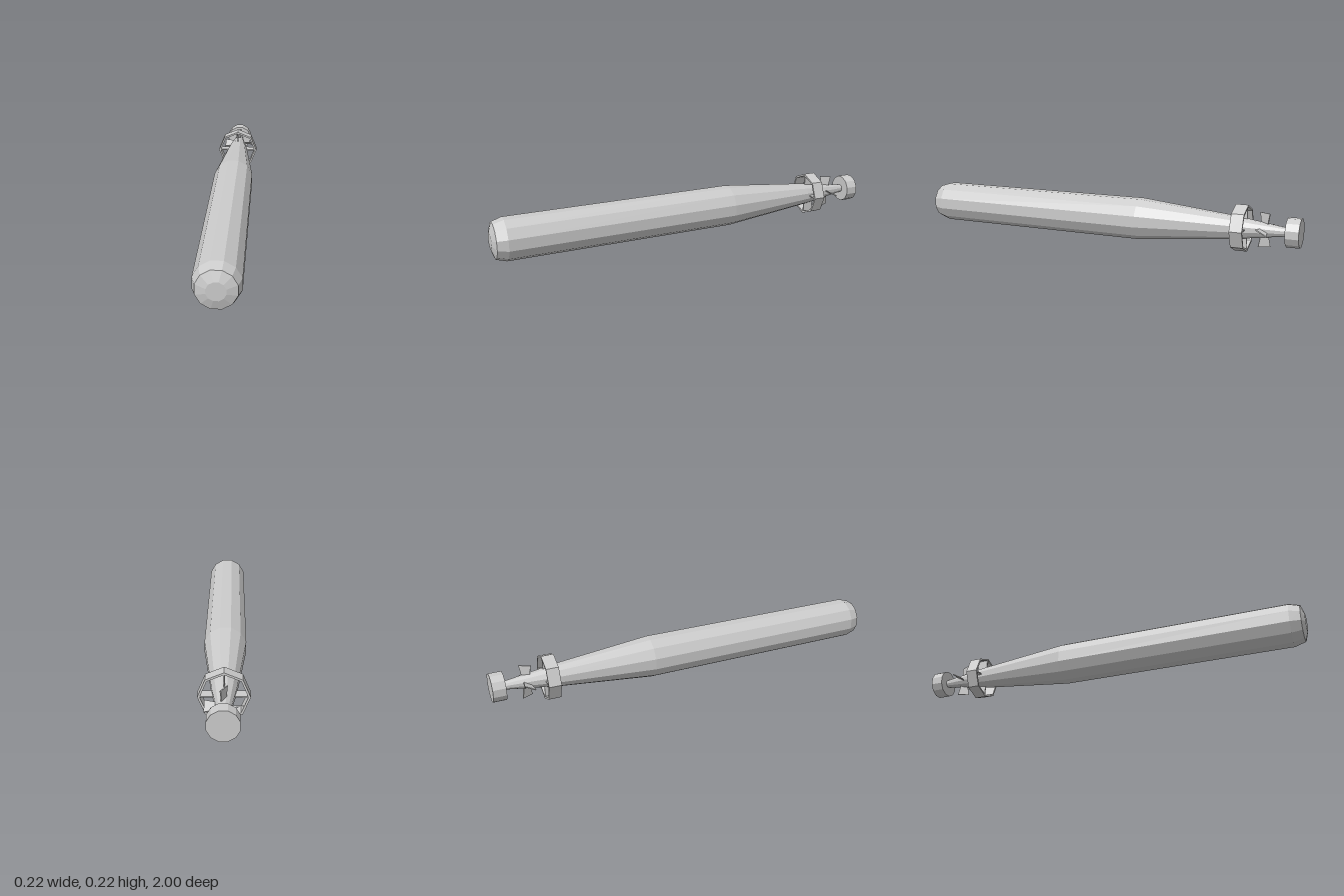
import * as THREE from 'three';

const material = new THREE.MeshStandardMaterial({ color: 0xcccccc, flatShading: true, side: THREE.DoubleSide });
const AXIS_Y = 0.112;

function add(parent, name, geometry) {
  const mesh = new THREE.Mesh(geometry, material);
  mesh.name = name;
  parent.add(mesh);
  return mesh;
}

// Twelve-sided solid of revolution along z, from [radius, z] pairs (rear to front)
function turned(profile) {
  const points = profile.map(([r, z]) => new THREE.Vector2(r, z));
  return new THREE.LatheGeometry(points, 12, Math.PI / 12).rotateX(Math.PI / 2);
}

// Regular polygon with its first corner on +x
function polygon(PathType, radius, sides) {
  const path = new PathType();
  const corners = [];
  for (let i = 0; i < sides; i++) {
    const a = (i / sides) * Math.PI * 2;
    corners.push(new THREE.Vector2(radius * Math.cos(a), radius * Math.sin(a)));
  }
  path.setFromPoints(corners);
  path.closePath();
  return path;
}

export function createModel() {
  const model = new THREE.Group();
  model.name = 'torpedo';
  const assembly = new THREE.Group();
  assembly.name = 'torpedoAssembly';
  assembly.position.y = AXIS_Y;
  model.add(assembly);

  // Hull with blunt nose and long tapering tail
  add(assembly, 'hull', turned([
    [0, -0.95], [0.018, -0.95], [0.056, -0.69], [0.1035, -0.22],
    [0.1035, 0.935], [0.088, 0.985], [0.042, 1], [0, 1],
  ]));

  // Drum at the very end of the tail
  add(assembly, 'tailDrum', turned([[0, -1], [0.069, -1], [0.069, -0.938], [0, -0.938]]));

  // Octagonal shroud ring
  const ring = polygon(THREE.Shape, 0.111, 8);
  ring.holes.push(polygon(THREE.Path, 0.101, 8));
  add(assembly, 'shroudRing', new THREE.ExtrudeGeometry(ring, { depth: 0.06, bevelEnabled: false }))
    .position.z = -0.755;

  // Propeller blade outline: x runs outward, y runs along the chord
  const bladeShape = new THREE.Shape([
    new THREE.Vector2(0.012, -0.018), new THREE.Vector2(0.045, -0.022),
    new THREE.Vector2(0.08, -0.029), new THREE.Vector2(0.08, 0.029),
    new THREE.Vector2(0.045, 0.022), new THREE.Vector2(0.012, 0.018),
  ]);
  const bladeGeometry = new THREE.ExtrudeGeometry(bladeShape, { depth: 0.005, bevelEnabled: false })
    .translate(0, 0, -0.0025)
    .rotateX(Math.PI / 2 - 0.5)
    .translate(0, 0, -0.834);

  // Four ring struts and four pitched propeller blades
  const strutGeometry = new THREE.BoxGeometry(0.075, 0.006, 0.054).translate(0.068, 0, -0.725);
  const struts = new THREE.Group();
  struts.name = 'ringStruts';
  const propeller = new THREE.Group();
  propeller.name = 'propeller';
  assembly.add(struts, propeller);
  for (let i = 0; i < 4; i++) {
    add(struts, 'strut', strutGeometry).rotation.z = i * Math.PI / 2;
    add(propeller, 'blade', bladeGeometry).rotation.z = i * Math.PI / 2;
  }

  return model;
}
